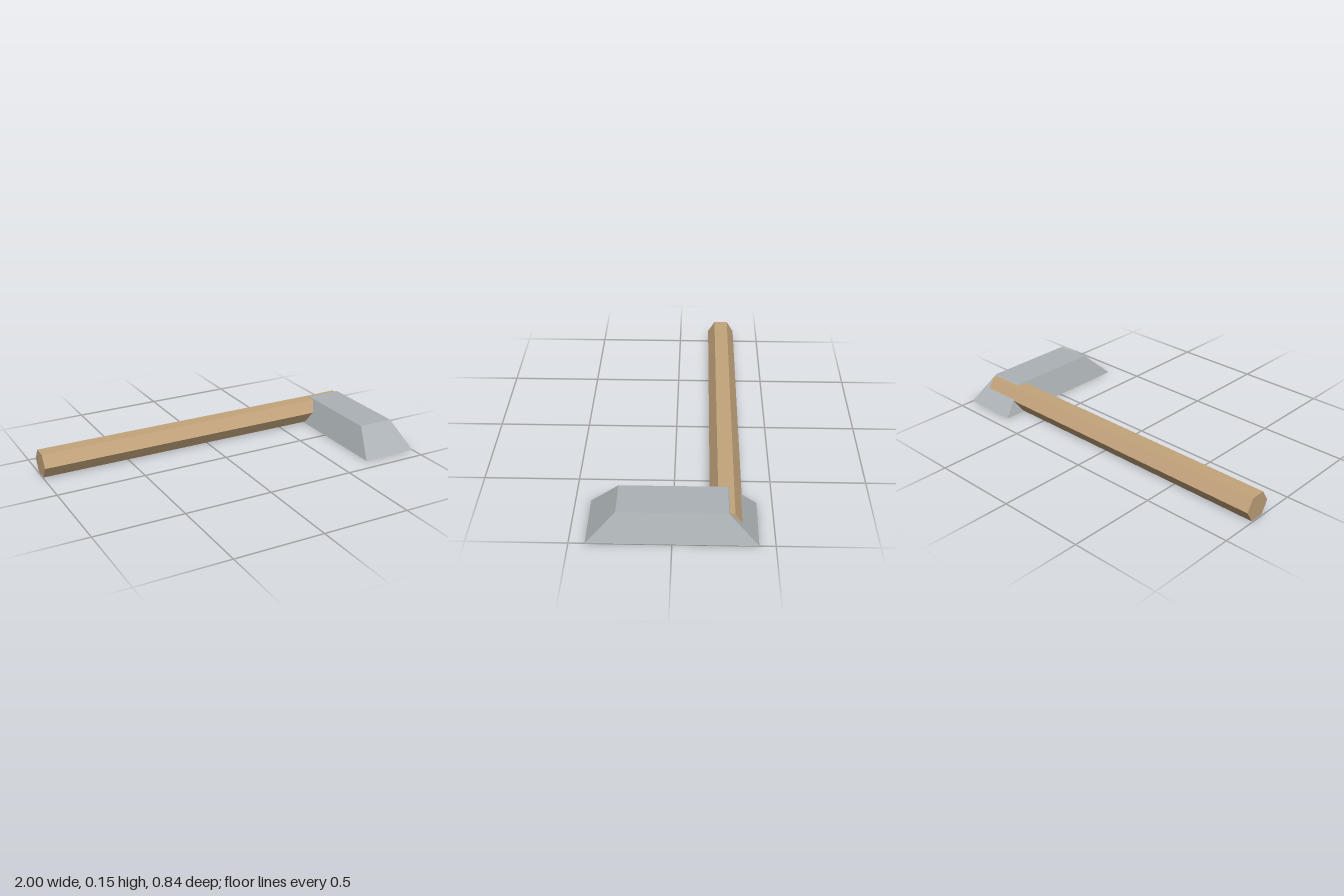
import * as THREE from 'three';

export function createModel() {
  const steel = new THREE.MeshStandardMaterial({ color: 0xacb2b5, flatShading: true });
  steel.name = 'steel';
  const wood = new THREE.MeshStandardMaterial({ color: 0xc4a57c, flatShading: true });
  wood.name = 'wood';

  const group = new THREE.Group();
  group.name = 'hammer';

  // Head: a box tapered towards its top
  const height = 0.147;
  const headGeo = new THREE.BoxGeometry(0.325, height, 0.84);
  const pos = headGeo.attributes.position;
  for (let i = 0; i < pos.count; i++) {
    if (pos.getY(i) > 0) {
      pos.setX(i, Math.sign(pos.getX(i)) * 0.104);
      pos.setZ(i, Math.sign(pos.getZ(i)) * 0.272);
    }
  }
  headGeo.computeVertexNormals();
  const head = new THREE.Mesh(headGeo, steel);
  head.name = 'head';
  head.position.set(0.8375, height / 2, 0);
  group.add(head);

  // Handle: a hexagonal bar along x, running through the back of the head
  const length = 1.93;
  const handleGeo = new THREE.CylinderGeometry(0.08, 0.08, length, 6);
  handleGeo.rotateZ(Math.PI / 2);
  handleGeo.scale(1, 0.965, 1);
  const handle = new THREE.Mesh(handleGeo, wood);
  handle.name = 'handle';
  handle.position.set(-1 + length / 2, 0.075, -0.262);
  group.add(handle);

  return group;
}
